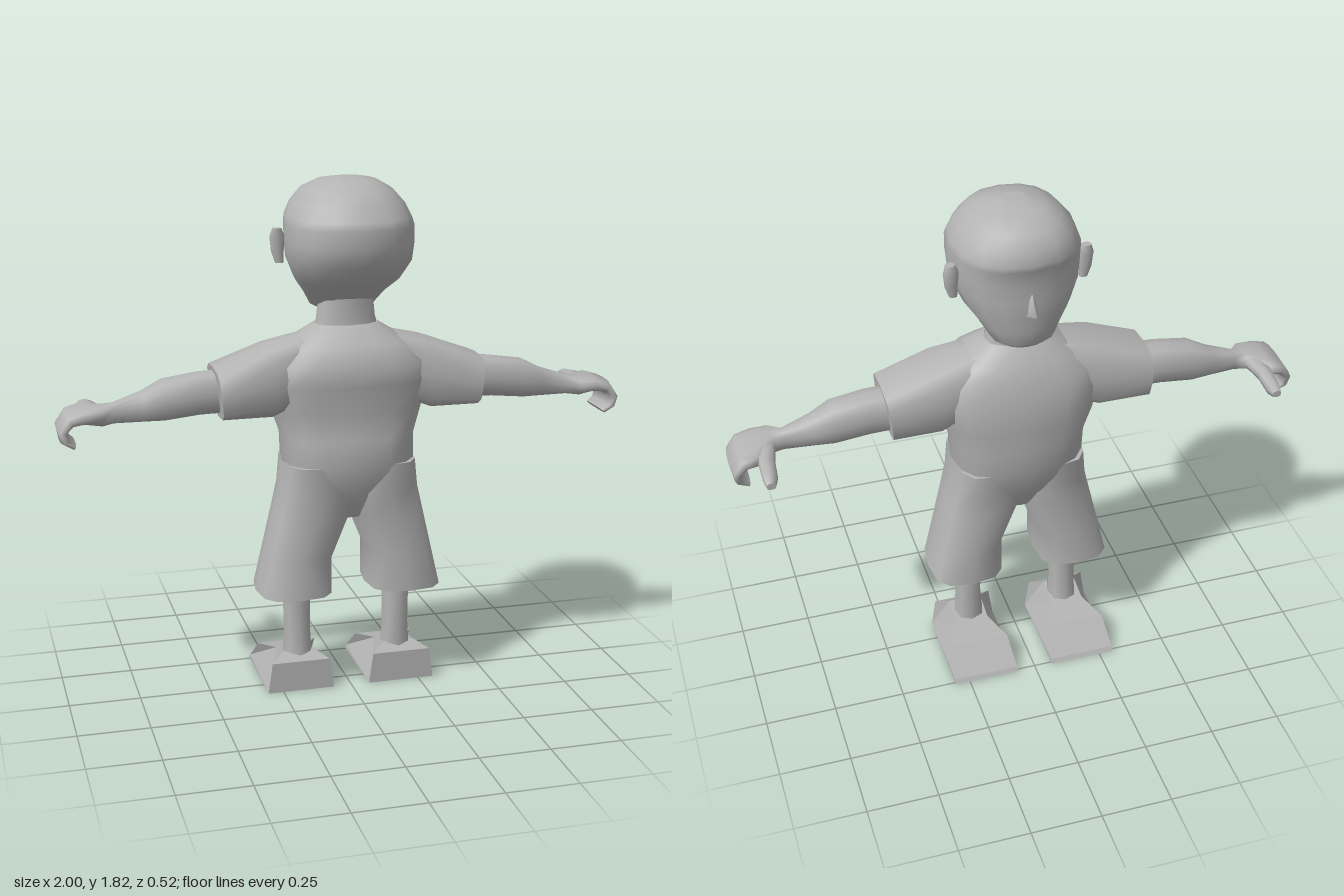
import * as THREE from 'three';

// Loft through rounded-square rings stacked along an axis.
// Ring: [position, centreA, radiusA, centreB, radiusB, tilt]
// A,B are x,z for axis 'y'; y,z for axis 'x'; x,y for axis 'z'.
function loft(axis, rings, { n = 12, p = 0.75, mirror = false } = {}) {
  const pos = [], idx = [];
  const pow = (v) => Math.sign(v) * Math.abs(v) ** p;
  const place = ([d, ca, ra, cb, rb, tilt = 0], c, s) => {
    const a = ra * c;
    let q;
    if (axis === 'y') q = [ca + a, d, cb + rb * s];
    else if (axis === 'z') q = [ca + a, cb - rb * s, d];
    else q = [d - a * Math.sin(tilt), ca + a * Math.cos(tilt), cb - rb * s];
    if (mirror) q[0] = -q[0];
    pos.push(...q);
    return pos.length / 3 - 1;
  };
  const addRing = (r) => {
    const start = pos.length / 3;
    for (let i = 0; i < n; i++) {
      const t = (i / n) * Math.PI * 2;
      place(r, pow(Math.cos(t)), pow(Math.sin(t)));
    }
    return start;
  };
  const tri = (a, b, c) => (mirror ? idx.push(a, c, b) : idx.push(a, b, c));
  const starts = rings.map(addRing);
  for (let k = 0; k + 1 < rings.length; k++) {
    for (let i = 0; i < n; i++) {
      const j = (i + 1) % n, a = starts[k], b = starts[k + 1];
      tri(a + i, b + i, a + j);
      tri(a + j, b + i, b + j);
    }
  }
  // separate end caps keep the hems crisp
  [rings[0], rings[rings.length - 1]].forEach((r, end) => {
    const s = addRing(r), m = place(r, 0, 0);
    for (let i = 0; i < n; i++) {
      const j = (i + 1) % n;
      end ? tri(m, s + j, s + i) : tri(m, s + i, s + j);
    }
  });
  const g = new THREE.BufferGeometry();
  g.setAttribute('position', new THREE.Float32BufferAttribute(pos, 3));
  g.setIndex(idx);
  g.computeVertexNormals();
  return g;
}

// Ring along y given by half-width and back / front depth
const span = (y, cx, rx, back, front) => [y, cx, rx, (back + front) / 2, (back - front) / 2];

// Wedge shoe: side profile extruded across, narrowed towards the ankle
function shoeGeometry(side) {
  const profile = [[-0.08, 0], [0.26, 0], [0.25, 0.015], [0.16, 0.095], [0.06, 0.115], [-0.04, 0.135], [-0.08, 0.11]];
  const shape = new THREE.Shape(profile.map(([x, y]) => new THREE.Vector2(x, y)));
  const g = new THREE.ExtrudeGeometry(shape, { depth: 0.24, bevelEnabled: false });
  g.translate(0, 0, -0.12).rotateY(Math.PI / 2);
  const a = g.attributes.position;
  for (let i = 0; i < a.count; i++) {
    const y = a.getY(i);
    const k = y > 0.112 ? 0.5 : 1 - y * 1.2;
    a.setX(i, a.getX(i) * k + side * 0.185);
  }
  g.computeVertexNormals();
  return g;
}

export function createModel() {
  const model = new THREE.Group();
  model.name = 'standingBoy';
  const grey = new THREE.MeshStandardMaterial({ color: 0xb4b4b4 });
  grey.name = 'plainGrey';
  const add = (name, geometry) => {
    const m = new THREE.Mesh(geometry, grey);
    m.name = name;
    model.add(m);
    return m;
  };

  // Head with a fuller back and a slight brow overhang (face towards -z)
  add('head', loft('y', [
    span(1.348, 0, 0.07, -0.02, -0.15),
    span(1.37, 0, 0.11, 0.03, -0.172),
    span(1.42, 0, 0.14, 0.09, -0.178),
    span(1.47, 0, 0.178, 0.18, -0.185),
    span(1.54, 0, 0.21, 0.245, -0.19),
    span(1.6, 0, 0.216, 0.255, -0.187),
    span(1.66, 0, 0.216, 0.26, -0.2),
    span(1.685, 0, 0.21, 0.25, -0.213),
    span(1.73, 0, 0.19, 0.215, -0.193),
    span(1.775, 0, 0.15, 0.18, -0.168),
    span(1.803, 0, 0.1, 0.11, -0.09),
    span(1.815, 0, 0.04, 0.05, -0.01),
  ], { n: 16, p: 0.85 }));
  add('neck', loft('y', [
    span(1.25, 0, 0.13, 0.09, -0.09),
    span(1.33, 0, 0.105, 0.065, -0.08),
    span(1.46, 0, 0.09, 0.08, -0.08),
  ], { p: 0.9 }));
  add('nose', loft('y', [
    span(1.495, 0, 0.022, -0.17, -0.215),
    span(1.508, 0, 0.018, -0.17, -0.235),
    span(1.57, 0, 0.006, -0.17, -0.19),
  ], { n: 4, p: 1 }));

  // Shirt body running into the hips of the shorts
  add('torso', loft('y', [
    span(0.64, 0, 0.1, 0.1, -0.09),
    span(0.72, 0, 0.2, 0.14, -0.135),
    span(0.84, 0, 0.232, 0.18, -0.175),
    span(0.93, 0, 0.235, 0.165, -0.175),
    span(1.02, 0, 0.265, 0.155, -0.18),
    span(1.12, 0, 0.29, 0.175, -0.178),
    span(1.19, 0, 0.28, 0.178, -0.155),
    span(1.255, 0, 0.21, 0.145, -0.135),
    span(1.315, 0, 0.11, 0.075, -0.08),
  ], { n: 16 }));

  for (const [side, label] of [[1, 'left'], [-1, 'right']]) {
    const mirror = side < 0;

    add(label + 'Ear', loft('y', [
      span(1.52, 0.222, 0.014, -0.035, -0.055),
      span(1.56, 0.228, 0.022, -0.032, -0.06),
      span(1.61, 0.228, 0.027, -0.03, -0.065),
      span(1.638, 0.23, 0.016, -0.03, -0.06),
    ], { n: 8, mirror }));

    // Wide short sleeve with a flat cuff
    add(label + 'Sleeve', loft('x', [
      [0.12, 1.18, 0.112, 0, 0.1],
      [0.28, 1.132, 0.124, 0.005, 0.13],
      [0.46, 1.098, 0.088, 0.006, 0.128, -0.1],
    ], { p: 0.6, mirror }));

    // Forearm, wrist, palm and downward curling fingers
    add(label + 'Arm', loft('x', [
      [0.42, 1.098, 0.074, 0, 0.068],
      [0.52, 1.095, 0.073, 0, 0.068],
      [0.64, 1.08, 0.07, 0, 0.068],
      [0.71, 1.062, 0.052, 0, 0.05],
      [0.81, 1.045, 0.036, 0, 0.028],
      [0.85, 1.043, 0.034, 0.012, 0.058],
      [0.91, 1.045, 0.028, -0.02, 0.096, -0.1],
      [0.955, 1.035, 0.024, -0.02, 0.096, -0.5],
      [0.982, 1.0, 0.018, -0.02, 0.094, -1.4],
      [0.975, 0.965, 0.017, -0.02, 0.085, -1.9],
      [0.945, 0.945, 0.01, -0.018, 0.078, -2.4],
    ], { mirror }));
    add(label + 'Thumb', loft('z', [
      [-0.218, 0.888, 0.016, 1.022, 0.013],
      [-0.19, 0.886, 0.025, 1.028, 0.024],
      [-0.12, 0.884, 0.028, 1.042, 0.022],
      [-0.03, 0.875, 0.035, 1.045, 0.025],
    ], { n: 8, mirror }));

    // Flared shorts leg with a flat hem
    add(label + 'ShortsLeg', loft('y', [
      span(0.365, 0.198, 0.132, 0.148, -0.146),
      span(0.5, 0.182, 0.116, 0.145, -0.14),
      span(0.65, 0.134, 0.131, 0.145, -0.135),
      span(0.74, 0.12, 0.122, 0.155, -0.145),
      span(0.84, 0.116, 0.114, 0.165, -0.16),
    ], { p: 0.65, mirror }));

    add(label + 'Leg', loft('y', [
      span(0.1, 0.182, 0.055, 0.06, -0.06),
      span(0.2, 0.182, 0.048, 0.056, -0.054),
      span(0.4, 0.182, 0.051, 0.058, -0.054),
    ], { n: 8, p: 0.85, mirror }));
    add(label + 'Shoe', shoeGeometry(side));
  }
  return model;
}
